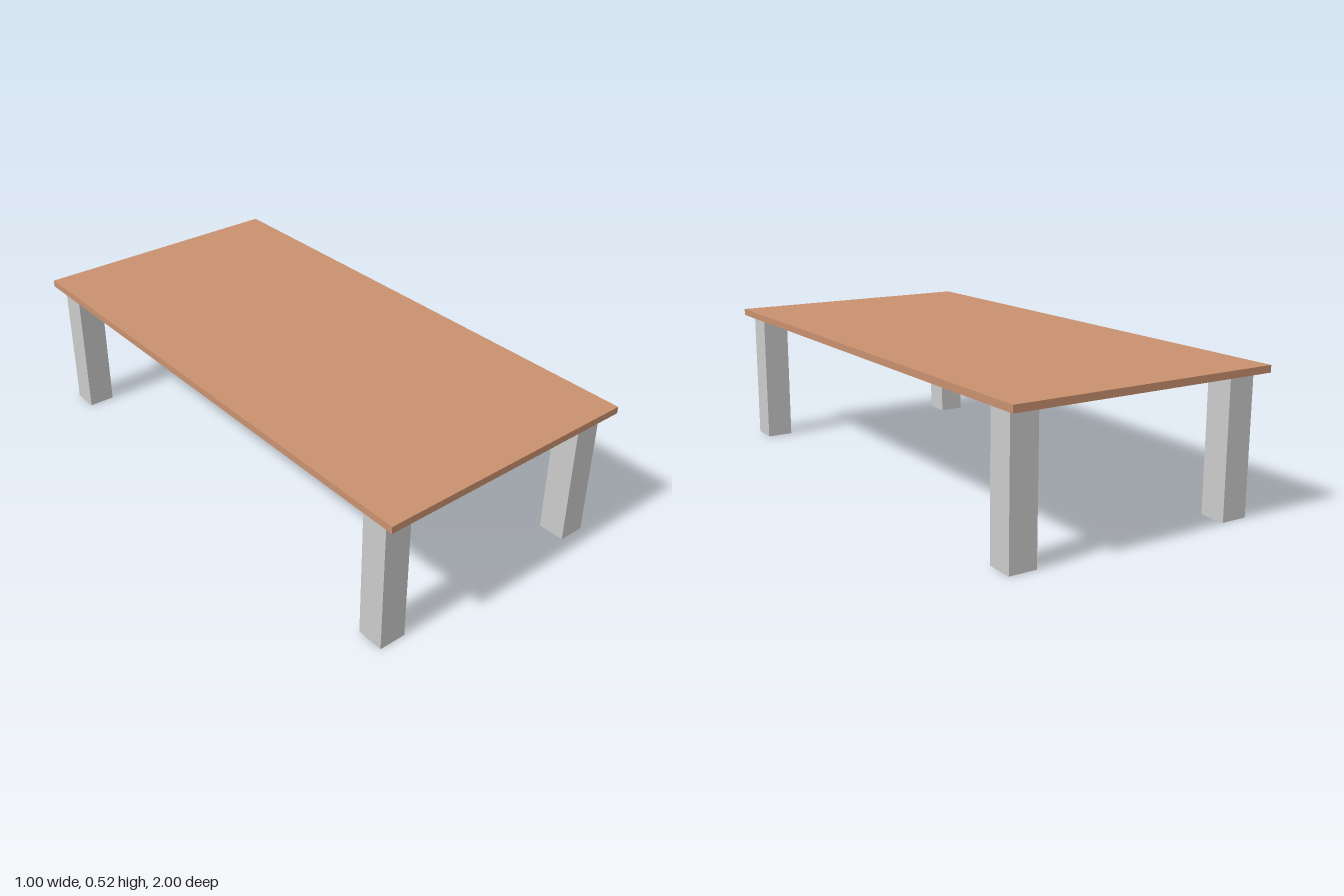
import * as THREE from 'three';

export function createModel() {
  const model = new THREE.Group();
  model.name = 'table';
  const wood = new THREE.MeshStandardMaterial({ color: 0xc8916f });
  const grey = new THREE.MeshStandardMaterial({ color: 0xcccccc });

  // Thin rectangular top
  const top = new THREE.Mesh(new THREE.BoxGeometry(1, 0.025, 2), wood);
  top.name = 'tableTop';
  top.position.y = 0.5125;
  model.add(top);

  // Four square legs, set in from the corners
  const legGeometry = new THREE.BoxGeometry(0.1, 0.5, 0.1);
  for (const [zName, z] of [['front', 0.9], ['back', -0.9]]) {
    for (const [xName, x] of [['Left', 0.425], ['Right', -0.425]]) {
      const leg = new THREE.Mesh(legGeometry, grey);
      leg.name = `${zName}${xName}Leg`;
      leg.position.set(x, 0.25, z);
      model.add(leg);
    }
  }
  return model;
}
